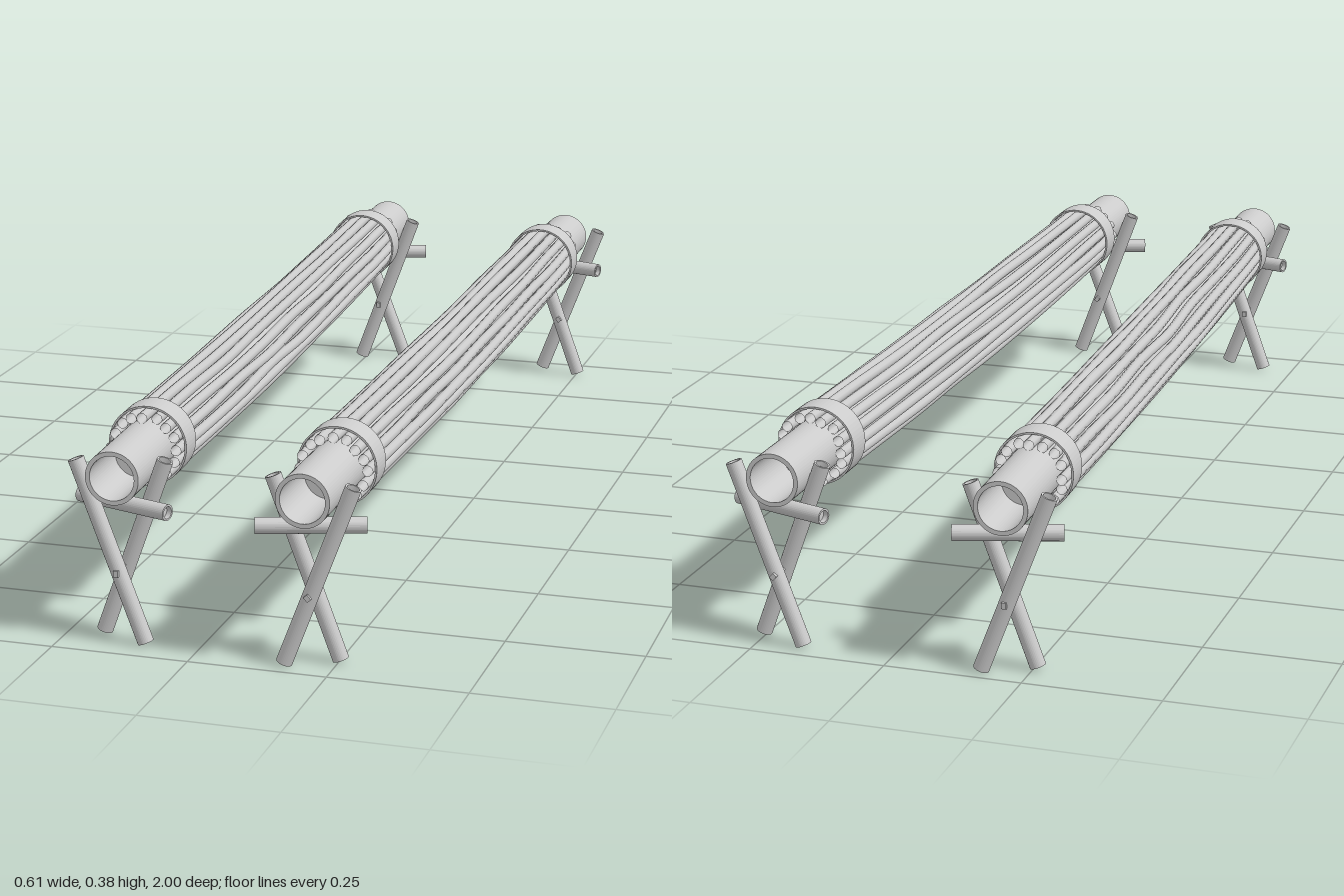
import * as THREE from 'three';

const mat = new THREE.MeshStandardMaterial({ color: 0xcccccc });
const openMat = new THREE.MeshStandardMaterial({ color: 0xcccccc, side: THREE.DoubleSide });
const V = (x, y, z) => new THREE.Vector3(x, y, z);

let seed = 7;
const rand = () => {
  seed = (seed * 16807) % 2147483647;
  return seed / 2147483647 - 0.5;
};

function add(parent, name, geometry, material = mat) {
  const mesh = new THREE.Mesh(geometry, material);
  mesh.name = name;
  parent.add(mesh);
  return mesh;
}

// Hollow pipe along y with square-cut ends
function pipeGeometry(outer, inner, length, sides) {
  const shape = new THREE.Shape().absarc(0, 0, outer, 0, Math.PI * 2);
  shape.holes.push(new THREE.Path().absarc(0, 0, inner, 0, Math.PI * 2, true));
  return new THREE.ExtrudeGeometry(shape, { depth: length, bevelEnabled: false, curveSegments: sides })
    .translate(0, 0, -length / 2).rotateX(-Math.PI / 2);
}

// Round pole between two points, hollow at the ends
function pole(parent, name, a, b, radius) {
  const dir = b.clone().sub(a);
  const mesh = add(parent, name, pipeGeometry(radius, radius * 0.75, dir.length(), 16));
  mesh.position.copy(a).add(b).multiplyScalar(0.5);
  mesh.quaternion.setFromUnitVectors(V(0, 1, 0), dir.normalize());
  // solid node inside the pole
  add(mesh, name + 'Node', new THREE.CylinderGeometry(radius * 0.8, radius * 0.8, a.distanceTo(b) - 0.02, 16));
}

// Long core pipe wrapped by slender rods held with two bands
function createBundle(name, back, front) {
  const bundle = new THREE.Group();
  bundle.name = name;
  bundle.position.copy(back).add(front).multiplyScalar(0.5);
  bundle.rotation.y = Math.atan2(front.x - back.x, front.z - back.z);

  add(bundle, 'corePipe', pipeGeometry(0.048, 0.04, back.distanceTo(front), 32).rotateX(Math.PI / 2));
  add(bundle, 'coreNode', new THREE.CylinderGeometry(0.041, 0.041, 1.7, 32).rotateX(Math.PI / 2));

  const count = 16;
  for (let i = 0; i < count; i++) {
    const a = (i / count) * Math.PI * 2;
    const points = [];
    const half = 0.812 + rand() * 0.02;
    for (let k = -4; k <= 4; k++) {
      const t = k / 4;
      const loose = 1 - t * t;                       // rods wander and sag between the bands
      const angle = a + rand() * 0.12 * loose;
      const r = 0.0585 + loose * (0.003 + rand() * 0.003);
      points.push(V(Math.cos(angle) * r, Math.sin(angle) * r - 0.008 * loose, t * half));
    }
    add(bundle, 'rod', new THREE.TubeGeometry(new THREE.CatmullRomCurve3(points), 32, 0.0098, 10), openMat);
  }

  for (const s of [-1, 1]) {
    const band = add(bundle, 'band', pipeGeometry(0.072, 0.0685, 0.056, 32).rotateX(Math.PI / 2));
    band.position.z = s * 0.762;
  }
  return bundle;
}

// Crossed-leg trestle; mx mirrors left to right, mz is the outward direction
function createTrestle(x, z, mx, mz) {
  const trestle = new THREE.Group();
  trestle.name = 'trestle';
  trestle.position.set(x, 0, z);
  const P = (px, py, pz) => V(px * mx, py, pz * mz);
  pole(trestle, 'outerLeg', P(-0.043, 0.005, 0.019), P(0.08, 0.329, 0.016), 0.0145);
  pole(trestle, 'innerLeg', P(0.047, 0.006, -0.019), P(-0.072, 0.329, -0.016), 0.0145);
  pole(trestle, 'crossbar', P(-0.091, 0.25, 0.028), P(0.091, 0.25, -0.03), 0.0145);
  // square peg through the crossing
  const peg = add(trestle, 'peg', new THREE.BoxGeometry(0.009, 0.011, 0.074));
  peg.position.set(0.004 * mx, 0.131, 0);
  peg.rotation.z = mx > 0 ? 0.7 : 0;
  return trestle;
}

export function createModel() {
  const model = new THREE.Group();
  model.name = 'pairOfRodBundles';
  model.add(
    createBundle('leftBundle', V(0.207, 0.309, -0.982), V(0.208, 0.309, 0.998)),
    createBundle('rightBundle', V(-0.214, 0.309, -0.998), V(-0.141, 0.309, 0.975)),
    createTrestle(0.207, 0.947, 1, 1),
    createTrestle(0.207, -0.944, 1, -1),
    createTrestle(-0.139, 0.926, -1, 1),
    createTrestle(-0.211, -0.952, -1, -1),
  );
  return model;
}
